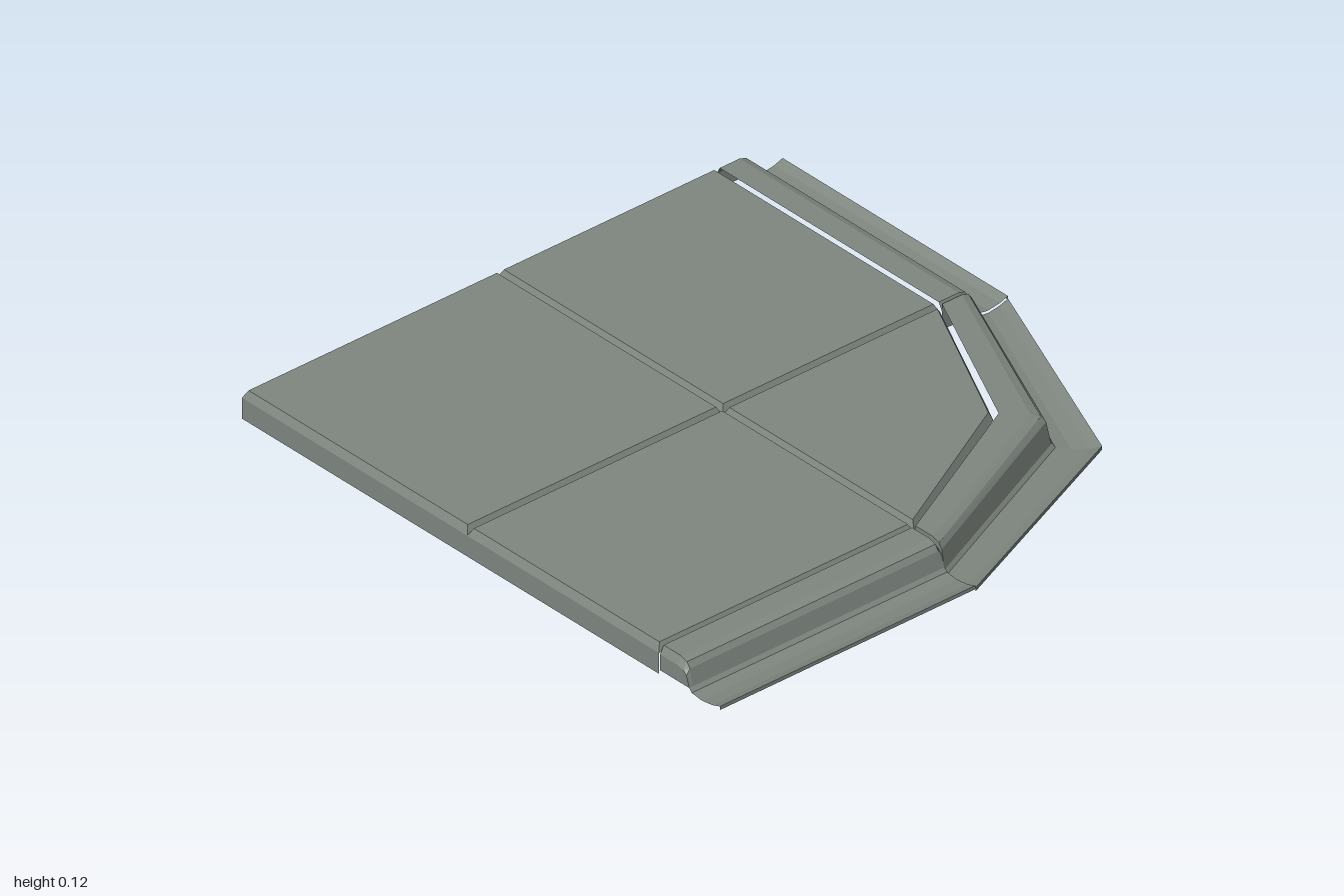
import * as THREE from 'three';

const stone = new THREE.MeshStandardMaterial({ color: 0x7f8780, side: THREE.DoubleSide });
stone.name = 'grey stone';

// Flat-faced mesh from convex polygons, each a list of [x, y, z] corners
function polyMesh(name, polys) {
  const pos = [];
  for (const p of polys) {
    for (let i = 1; i < p.length - 1; i++) pos.push(...p[0], ...p[i], ...p[i + 1]);
  }
  const geo = new THREE.BufferGeometry();
  geo.setAttribute('position', new THREE.Float32BufferAttribute(pos, 3));
  geo.computeVertexNormals();
  const mesh = new THREE.Mesh(geo, stone);
  mesh.name = name;
  return mesh;
}

// Moves every edge of a convex outline inwards by d; corners run clockwise in (x, z) seen from below
function inset(pts, d) {
  const n = pts.length;
  const dir = (a, b) => {
    const l = Math.hypot(b[0] - a[0], b[1] - a[1]);
    return [(b[0] - a[0]) / l, (b[1] - a[1]) / l];
  };
  return pts.map((p, i) => {
    const u = dir(pts[(i + n - 1) % n], p), v = dir(p, pts[(i + 1) % n]);
    const k = d / (1 + u[0] * v[0] + u[1] * v[1]);
    return [p[0] - (u[1] + v[1]) * k, p[1] + (u[0] + v[0]) * k];
  });
}

const TOP = 0.115, EDGE = 0.09, BASE = 0.022;

// Bevelled paving slab, open below, with a skirt on the listed edges
function slab(name, pts, skirts) {
  const inner = inset(pts, 0.013);
  const at = (p, y) => [p[0], y, p[1]];
  const polys = [inner.map((p) => at(p, TOP)).reverse()];
  pts.forEach((p, i) => {
    const j = (i + 1) % pts.length, q = pts[j];
    polys.push([at(p, EDGE), at(inner[i], TOP), at(inner[j], TOP), at(q, EDGE)]);
    if (skirts.includes(i)) polys.push([at(p, BASE), at(p, EDGE), at(q, EDGE), at(q, BASE)]);
  });
  return polyMesh(name, polys);
}

// Kerb profile: t runs 0 inner edge, 1 foot of the kerb, 2 outer lip of the gutter
const KERB = [[0, 0.113], [0.6, 0.113], [0.8, 0.105], [0.9, 0.088], [1, 0.036]];
const GUTTER = [[1, 0.036], [1.08, 0.025], [1.4, 0.02], [1.75, 0.026], [2, 0.037], [2, 0.025]];

// Cross-section at a station; drop lowers the gutter, cut lowers the kerb top
function section(s, profile) {
  const { rails: [a, b, c], drop = 0, cut = 0 } = s;
  return profile.map(([t, y]) => {
    const [p, q, k] = t <= 1 ? [a, b, t] : [b, c, t - 1];
    const low = y < 0.04 ? y - drop : y - cut * (y - 0.036) / 0.077;
    return [p[0] + (q[0] - p[0]) * k, low, p[1] + (q[1] - p[1]) * k];
  });
}

function sweep(name, stations, profile, capped) {
  const rows = stations.map((s) => section(s, profile));
  const polys = [];
  for (let i = 0; i < rows.length - 1; i++) {
    for (let j = 0; j < profile.length - 1; j++) {
      polys.push([rows[i][j], rows[i][j + 1], rows[i + 1][j + 1], rows[i + 1][j]]);
    }
  }
  if (capped) {
    const first = rows[0], last = rows[rows.length - 1];
    const foot = (r) => [r[0][0], r[r.length - 1][1], r[0][2]];
    polys.push([foot(first), ...[...first].reverse()], [foot(last), ...last]);
  }
  return polyMesh(name, polys);
}

export function createModel() {
  const group = new THREE.Group();
  group.name = 'pavementCorner';
  const L = -0.997, M = -0.057, B = -1, R = 0.743, F = 0.745;

  // Paving slabs
  group.add(
    slab('backRightSlab', [[L, B], [M, B], [M, M], [L, M]], [0, 3]),
    slab('backLeftSlab', [[M, B], [R, B], [R, M], [M, M]], [0]),
    slab('frontRightSlab', [[L, M], [M, M], [M, F], [L, F]], [3]),
    slab('cornerSlab', [[M, M], [R, M], [0.487, 0.457], [M, F]], []),
  );

  // Rails of the kerb: inner edge, foot, outer lip
  const frontAt = (x) => [[x, 0.75], [x, 0.872], [x, 1]];
  const sideAt = (z) => [[0.75, z], [0.872, z], [0.993, z]];
  const cornerRails = [[0.497, 0.468], [0.603, 0.568], [0.7, 0.67]];

  // Straight arms have bevelled ends that leave a joint
  const arm = (railsAt, a, b) => [
    { rails: railsAt(a), cut: 0.025 },
    { rails: railsAt(a + 0.013) },
    { rails: railsAt(b - 0.013) },
    { rails: railsAt(b), cut: 0.025 },
  ];
  const runs = {
    front: arm(frontAt, L, M),
    corner: [
      { rails: frontAt(M), drop: 0.008 },
      { rails: cornerRails, drop: 0.02 },
      { rails: sideAt(M), drop: 0.008 },
    ],
    side: arm(sideAt, B, M).reverse(),
  };
  for (const [name, stations] of Object.entries(runs)) {
    group.add(sweep(name + 'Kerb', stations, KERB, true));
    group.add(sweep(name + 'Gutter', stations, GUTTER, false));
  }
  return group;
}
